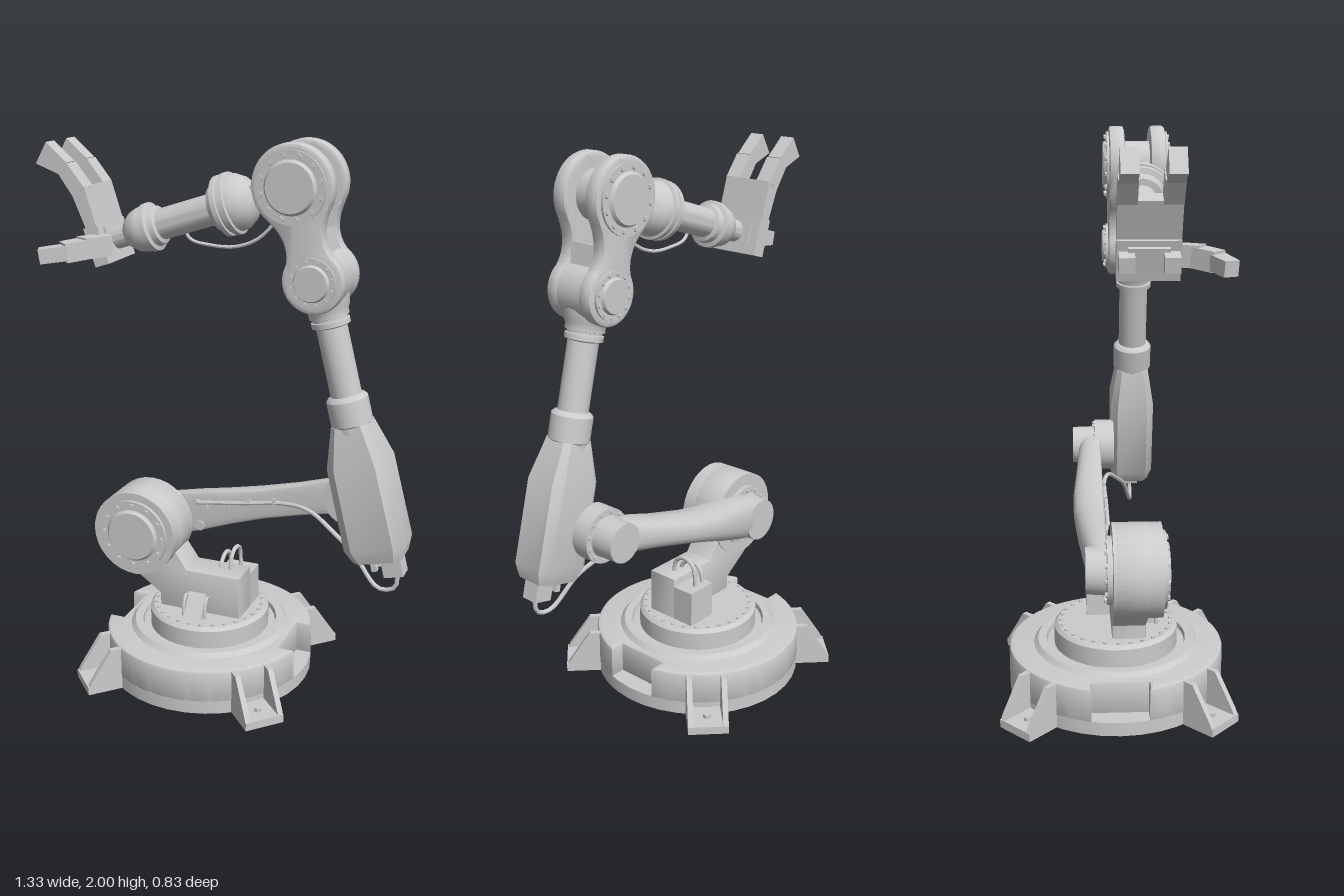
import * as THREE from 'three';
import { toCreasedNormals } from 'three/addons/utils/BufferGeometryUtils.js';

const grey = new THREE.MeshStandardMaterial({ color: 0xcccccc });
const V = (x, y, z) => new THREE.Vector3(x, y, z);

function add(parent, name, geo, x = 0, y = 0, z = 0) {
  const m = new THREE.Mesh(toCreasedNormals(geo, 0.6), grey);
  m.name = name;
  m.position.set(x, y, z);
  parent.add(m);
  return m;
}
function group(parent, name, x = 0, y = 0, z = 0) {
  const g = new THREE.Group();
  g.name = name;
  g.position.set(x, y, z);
  parent.add(g);
  return g;
}
// box given by its min and max corners
const box = (p, name, x0, x1, y0, y1, z0, z1) =>
  add(p, name, new THREE.BoxGeometry(x1 - x0, y1 - y0, z1 - z0), (x0 + x1) / 2, (y0 + y1) / 2, (z0 + z1) / 2);
// cylinder along z
function cylZ(p, name, x, y, z0, z1, r0, r1 = r0, n = 32) {
  const g = new THREE.CylinderGeometry(r1, r0, z1 - z0, n).rotateX(Math.PI / 2);
  return add(p, name, g, x, y, (z0 + z1) / 2);
}
// revolved profile of [radius, height] pairs
const lathe = (p, name, pts, n = 36) =>
  add(p, name, new THREE.LatheGeometry(pts.map(q => new THREE.Vector2(...q)), n));
const shapeOf = pts => new THREE.Shape(pts.map(q => new THREE.Vector2(...q)));
function extrude(p, name, shape, z0, z1, b = 0) {
  const g = new THREE.ExtrudeGeometry(shape, { depth: z1 - z0 - 2 * b, bevelEnabled: b > 0,
    bevelSize: b, bevelOffset: -b, bevelThickness: b, bevelSegments: 2, curveSegments: 20 });
  return add(p, name, g, 0, 0, z0 + b);
}
const cable = (p, name, pts, r = 0.008) =>
  add(p, name, new THREE.TubeGeometry(new THREE.CatmullRomCurve3(pts.map(q => V(...q))), 40, r, 8));
// skin over cross-sections, capped at both ends
function loft(p, name, rings) {
  const n = rings[0].length, idx = [], last = (rings.length - 1) * n;
  for (let i = 0; i < rings.length - 1; i++) for (let j = 0; j < n; j++) {
    const a = i * n + j, b = i * n + (j + 1) % n;
    idx.push(a, b, b + n, a, b + n, a + n);
  }
  for (let j = 1; j < n - 1; j++) idx.push(0, j + 1, j, last, last + j, last + j + 1);
  const g = new THREE.BufferGeometry();
  g.setAttribute('position', new THREE.Float32BufferAttribute(rings.flat(2), 3));
  g.setIndex(idx);
  return add(p, name, g);
}
// bolted round cover facing +z (dir 1) or -z (dir -1)
function hub(p, name, x, y, z, r, dir = 1) {
  const g = group(p, name, x, y, z);
  if (dir < 0) g.rotation.y = Math.PI;
  cylZ(g, 'flange', 0, 0, -0.01, 0.01, r);
  cylZ(g, 'cap', 0, 0, 0.01, 0.022, r * 0.75, r * 0.68);
  for (let i = 0; i < 12; i++) {
    const a = i * Math.PI / 6;
    cylZ(g, 'bolt', Math.cos(a) * r * 0.87, Math.sin(a) * r * 0.87, 0.01, 0.018, r * 0.075, r * 0.075, 6);
  }
}
// tapered finger block between two points
function block(p, name, a, b, w, t0, t1, up) {
  const len = a.distanceTo(b), g = new THREE.BoxGeometry(t0, w, len), q = g.attributes.position;
  for (let i = 0; i < q.count; i++) if (q.getZ(i) > 0) q.setX(i, q.getX(i) * t1 / t0);
  const mid = a.clone().lerp(b, 0.5), m = add(p, name, g, mid.x, mid.y, mid.z);
  m.up.copy(up);
  m.lookAt(b);
}

function makeBase(root) {
  const base = group(root, 'base', -0.12);
  lathe(base, 'baseFoot', [[0, 0], [0.39, 0], [0.39, 0.05], [0, 0.05]]);
  // drum wall with a notch on either side
  const s = new THREE.Shape(), a = Math.asin(0.1 / 0.39);
  s.absarc(0, 0, 0.39, a, Math.PI - a);
  s.lineTo(-0.32, 0.1); s.lineTo(-0.32, -0.1);
  s.absarc(0, 0, 0.39, Math.PI + a, 2 * Math.PI - a);
  s.lineTo(0.32, -0.1); s.lineTo(0.32, 0.1);
  const drum = extrude(base, 'baseDrum', s, 0, 0.13, 0.012);
  drum.rotation.x = -Math.PI / 2;
  drum.position.set(0, 0.052, 0);
  lathe(base, 'turntableRing', [[0.3, 0.16], [0.3, 0.17], [0.285, 0.187], [0.255, 0.187], [0.25, 0.165]]);
  lathe(base, 'turntable', [[0.225, 0.16], [0.225, 0.238], [0.212, 0.25], [0, 0.25]]);
  for (let i = 0; i < 28; i++) {
    const t = i * Math.PI / 14;
    add(base, 'turntableBolt', new THREE.CylinderGeometry(0.007, 0.007, 0.006, 6), 0.2 * Math.cos(t), 0.253, 0.2 * Math.sin(t));
  }
  for (let i = 0; i < 4; i++) {
    const f = group(base, 'foot');
    f.rotation.y = Math.PI / 4 + i * Math.PI / 2;
    box(f, 'footPad', 0.34, 0.512, 0, 0.03, -0.073, 0.073);
    for (const z of [-0.073, 0.053])
      extrude(f, 'footGusset', shapeOf([[0.34, 0.02], [0.512, 0.02], [0.5, 0.045], [0.42, 0.165], [0.34, 0.165]]), z, z + 0.02);
    add(f, 'footBolt', new THREE.CylinderGeometry(0.014, 0.014, 0.014, 6), 0.45, 0.036, 0);
  }
}

function makeShoulder(root) {
  const g = group(root, 'shoulder'), X = -0.362, Y = 0.548;
  const s = new THREE.Shape();
  s.moveTo(-0.28, 0.25); s.lineTo(0.04, 0.25); s.lineTo(0.04, 0.415); s.lineTo(-0.17, 0.415); s.lineTo(-0.215, 0.48);
  s.absarc(X, Y, 0.163, -0.4, Math.PI * 1.22);
  s.lineTo(-0.28, 0.3);
  extrude(g, 'bracket', s, -0.02, 0.1, 0.006);
  cylZ(g, 'shoulderDrum', X, Y, -0.025, 0.145, 0.163);
  hub(g, 'shoulderCover', X, Y, 0.148, 0.135);
  hub(g, 'shoulderBackCover', X, Y, -0.033, 0.117, -1);
  const gus = extrude(g, 'bracketGusset', shapeOf([[-0.1, 0.25], [-0.1, 0.33], [-0.16, 0.25]]), 0, 0.07);
  gus.rotation.y = Math.PI / 2;
  gus.position.x = -0.16;
  box(g, 'connectorBox', -0.08, 0.04, 0.25, 0.385, -0.105, -0.02);
  for (const [x, h] of [[-0.06, 0.455], [-0.02, 0.482]])
    cable(g, 'loopCable', [[x, 0.4, 0.035], [x, h - 0.02, 0.02], [x, h, -0.02], [x, h - 0.02, -0.06], [x, 0.37, -0.075]]);
  for (const x of [-0.165, -0.08])
    cable(g, 'frontCable', [[x, 0.31, 0.09], [x, 0.322, 0.12], [x, 0.29, 0.142], [x, 0.24, 0.145]], 0.006);
}

function makeUpperArm(root) {
  const g = group(root, 'upperArm', -0.362, 0.548, -0.045), L = 0.814;
  g.rotation.z = Math.atan2(0.207, 0.787);
  // flat front, rounded back: [along, half height, depth]
  const rings = [[0, 0.085, 0.065], [0.08, 0.085, 0.075], [0.2, 0.076, 0.092], [0.32, 0.064, 0.104],
    [0.44, 0.057, 0.104], [0.6, 0.058, 0.09], [0.72, 0.064, 0.08], [L, 0.068, 0.075]].map(([x, h, d]) =>
    Array.from({ length: 28 }, (_, j) => {
      const c = Math.cos(j * Math.PI / 14), k = Math.sin(j * Math.PI / 14);
      return [x, h * Math.sign(c) * Math.abs(c) ** 0.75, k > 0 ? 0.008 * k : -d * Math.abs(k) ** 0.75];
    }));
  loft(g, 'armShell', rings);
  cylZ(g, 'shoulderKnuckle', 0, 0, -0.07, 0.01, 0.08, 0.086);
  cylZ(g, 'elbowKnuckle', L, 0, -0.1, 0.005, 0.07, 0.073);
  cylZ(g, 'elbowFlange', L, 0, -0.01, 0.06, 0.098);
  hub(g, 'elbowCover', L, 0, -0.004, 0.098, -1);
  for (const [x, y] of [[0.19, 0.03], [0.18, -0.055]]) cylZ(g, 'armPlug', x, y, 0, 0.014, 0.02, 0.02, 16);
  for (const x of [0.22, 0.31, 0.4, 0.5]) box(g, 'cableClip', x, x + 0.015, 0.021 - x * 0.05, 0.046 - x * 0.05, 0, 0.02);
  cable(root, 'armCable', [[-0.18, 0.635, -0.03], [0, 0.66, -0.03], [0.17, 0.685, -0.03], [0.27, 0.68, -0.01],
    [0.38, 0.625, 0.03], [0.46, 0.575, 0.06], [0.56, 0.475, 0.09], [0.62, 0.49, 0.093], [0.625, 0.58, 0.093]]);
}

function makeLowerArm(root) {
  const g = group(root, 'middleArm', 0.325, 1.56, 0.09);
  g.rotation.z = 0.245;
  // tapered eight-sided motor housing
  const c = 0.7, oct = [[c, 1], [1, c], [1, -c], [c, -1], [-c, -1], [-1, -c], [-1, c], [-c, 1]];
  loft(g, 'motorHousing', [[-0.99, 0.088, 0.068], [-0.94, 0.108, 0.083], [-0.64, 0.104, 0.083], [-0.5, 0.064, 0.06]]
    .map(([y, w, d]) => oct.map(([x, z]) => [x * w, y, z * d])));
  box(g, 'cablePlug', 0.005, 0.075, -1.06, -0.98, -0.032, 0.032);
  for (const z of [-0.02, 0.02]) box(g, 'plugPin', -0.035, -0.015, -1.035, -0.98, z - 0.01, z + 0.01);
  lathe(g, 'armTube', [[0.065, -0.535], [0.065, -0.505], [0.072, -0.5], [0.072, -0.415], [0.064, -0.405], [0.053, -0.4],
    [0.053, -0.165], [0.066, -0.16], [0.066, -0.142], [0.06, -0.14], [0.06, -0.132], [0.068, -0.13],
    [0.068, -0.112], [0.075, -0.1], [0.085, -0.05]], 28);
  // double-ended fork joining the two pivots
  const s = new THREE.Shape(), d = Math.PI / 180, T = 0.309;
  s.absarc(0, T, 0.138, -40 * d, 220 * d);
  s.quadraticCurveTo(-0.045, 0.14, -0.08, 0.067);
  s.absarc(0, 0, 0.105, 140 * d, 400 * d);
  s.quadraticCurveTo(0.045, 0.14, 0.106, T - 0.089);
  extrude(g, 'forkPlate', s, 0.045, 0.1, 0.012);
  extrude(g, 'forkPlate', s, -0.1, -0.045, 0.012);
  cylZ(g, 'lowerPivot', 0, 0, -0.06, 0.06, 0.103);
  box(g, 'forkWeb', -0.065, 0.065, 0, 0.15, -0.06, 0.06);
  cylZ(g, 'upperPivot', 0, T, -0.06, 0.06, 0.085);
  for (const k of [1, -1]) {
    hub(g, 'upperPivotCover', 0, T, 0.098 * k, 0.118, k);
    hub(g, 'lowerPivotCover', 0, 0, 0.098 * k, 0.082, k);
  }
}

function makeForearm(root) {
  const g = group(root, 'forearm', 0.25, 1.86, 0.09);
  g.rotation.z = 108 * Math.PI / 180;
  box(g, 'forearmNeck', -0.04, 0.04, 0.04, 0.2, -0.03, 0.03);
  lathe(g, 'forearmTube', [[0, 0.155], [0.045, 0.163], [0.075, 0.185], [0.093, 0.215], [0.096, 0.235], [0.105, 0.238],
    [0.105, 0.256], [0.096, 0.258], [0.096, 0.266], [0.103, 0.268], [0.103, 0.284], [0.085, 0.292], [0.075, 0.31],
    [0.053, 0.315], [0.053, 0.52], [0.066, 0.525], [0.07, 0.545], [0.084, 0.55], [0.084, 0.57], [0.076, 0.573],
    [0.078, 0.59], [0.07, 0.62], [0.052, 0.645], [0.04, 0.655], [0.04, 0.74]]);
  cable(root, 'forearmCable', [[-0.17, 1.7, 0.09], [-0.14, 1.655, 0.09], [-0.07, 1.64, 0.09], [0.02, 1.64, 0.09],
    [0.1, 1.67, 0.09], [0.16, 1.73, 0.09], [0.19, 1.8, 0.09]], 0.006);
}

function makeHand(root) {
  const g = group(root, 'hand'), Z = V(0, 0, 1), Y = V(0, 1, 0);
  block(g, 'palm', V(-0.43, 1.56, 0.085), V(-0.472, 1.69, 0.085), 0.2, 0.055, 0.055, Z);
  block(g, 'palmMount', V(-0.42, 1.645, 0.085), V(-0.49, 1.622, 0.085), 0.13, 0.09, 0.075, Z);
  block(g, 'knucklePlate', V(-0.467, 1.685, 0.085), V(-0.515, 1.815, 0.085), 0.2, 0.04, 0.055, Z);
  for (const z of [0.015, 0.155]) {
    block(g, 'fingerMiddle', V(-0.51, 1.805, z), V(-0.57, 1.885, z), 0.062, 0.055, 0.05, Z);
    block(g, 'fingerTip', V(-0.565, 1.88, z), V(-0.65, 1.93, z), 0.055, 0.05, 0.085, Z);
    block(g, 'fingerGrip', V(-0.48, 1.62, z), V(-0.53, 1.61, z), 0.05, 0.06, 0.05, Z);
  }
  // thumb reaching out to the front
  block(g, 'thumbBase', V(-0.42, 1.63, 0.16), V(-0.47, 1.63, 0.25), 0.07, 0.06, 0.06, Y);
  block(g, 'thumbMiddle', V(-0.46, 1.628, 0.235), V(-0.515, 1.62, 0.295), 0.065, 0.065, 0.06, Y);
  block(g, 'thumbTip', V(-0.505, 1.62, 0.287), V(-0.59, 1.608, 0.325), 0.05, 0.06, 0.05, Y);
}

export function createModel() {
  const root = new THREE.Group();
  root.name = 'robotArm';
  for (const make of [makeBase, makeShoulder, makeUpperArm, makeLowerArm, makeForearm, makeHand]) make(root);
  return root;
}
